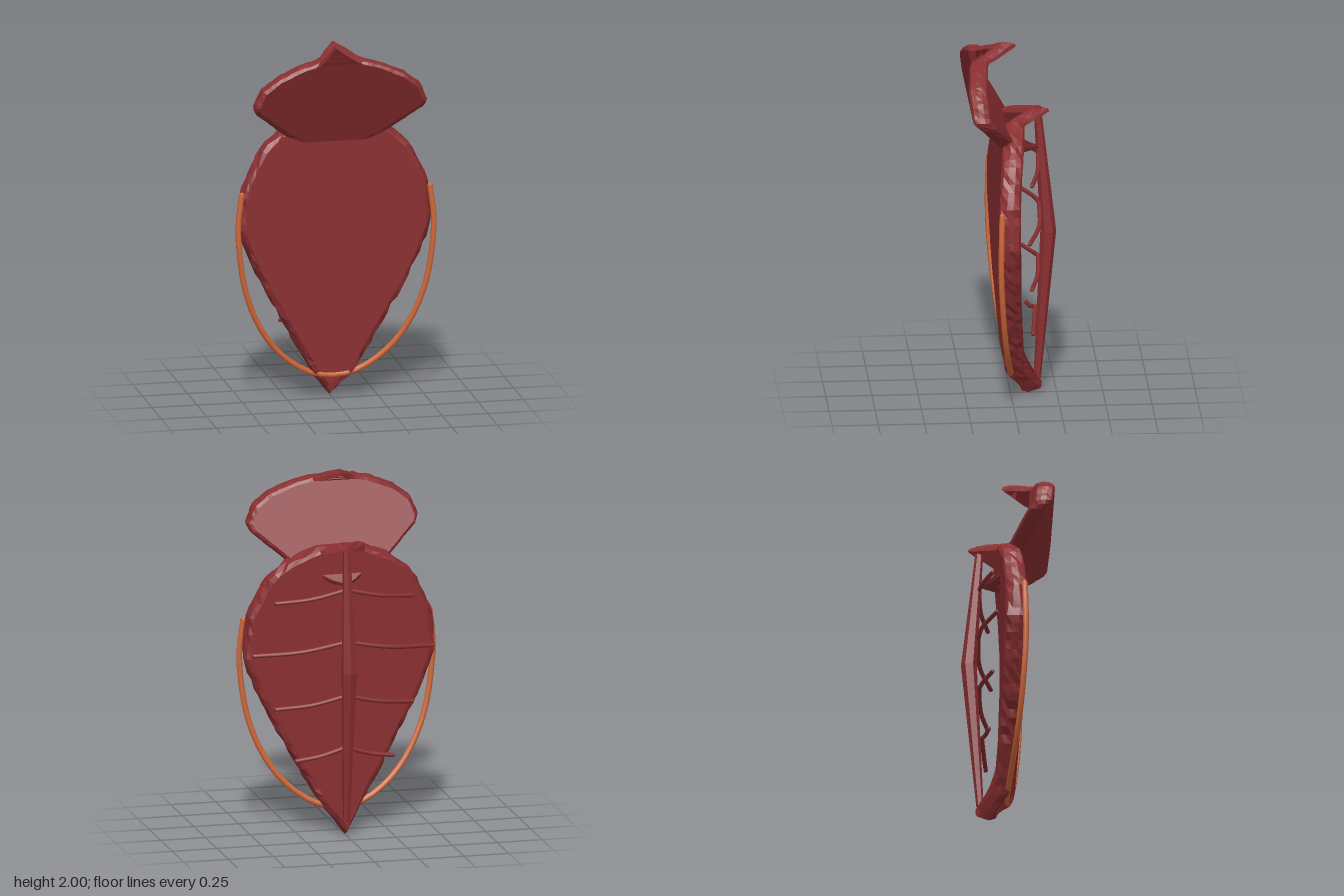
import * as THREE from 'three';

const red = new THREE.MeshStandardMaterial({ color: 0x8a2e30 });
red.name = 'deep red';
const orange = new THREE.MeshStandardMaterial({ color: 0xd0683a });
orange.name = 'orange';

// small seeded noise in -1..1
let seed = 7;
const noise = () => {
  seed = (seed * 16807) % 2147483647;
  return (seed / 2147483647) * 2 - 1;
};

// linear interpolation through [key, value] pairs with rising keys
function lerpTable(table, t) {
  for (let i = 1; i < table.length; i++) {
    const [a, va] = table[i - 1], [b, vb] = table[i];
    if (t <= b) return va + (vb - va) * Math.max(0, (t - a) / (b - a));
  }
  return table[table.length - 1][1];
}

// Mirrored slab with a rounded rough rim, bent in z by height and creased at the middle.
// half: right half of the outline from top to bottom; zByY: middle depth by height.
function slab(name, { half, zByY, thick, inset, rough, capNormal }) {
  const path = new THREE.CurvePath();
  for (let i = 1; i < half.length; i++) {
    path.add(new THREE.LineCurve(new THREE.Vector2(...half[i - 1]), new THREE.Vector2(...half[i])));
  }
  const n = 44, loop = 2 * n;
  const pts = path.getSpacedPoints(n);

  // outward normals of the right half
  const normals = pts.map((p, i) => {
    if (i === 0) return new THREE.Vector2(0, 1);
    if (i === n) return new THREE.Vector2(0, -1);
    const d = pts[i + 1].clone().sub(pts[i - 1]).normalize();
    return new THREE.Vector2(-d.y, d.x);
  });

  // rim rings from front to back: [share of inset, share of half thickness]
  const layers = [[1, 1], [0.35, 0.8], [0, 0.3], [0, -0.3], [0.35, -0.8], [1, -1]];
  const rings = layers.map(([k, dz]) => {
    const ring = [];
    for (let j = 0; j < loop; j++) {
      const i = j <= n ? j : loop - j, side = j <= n ? 1 : -1;
      const p = pts[i], nn = normals[i];
      const off = -k * inset + rough * noise() * (k < 1 ? 1 : 0.4);
      const x = Math.max(0, p.x + nn.x * off), y = p.y + nn.y * off;
      const crease = 0.14 * Math.max(0, 1 - x / 0.12);
      const z = lerpTable(zByY, p.y) - crease + dz * thick / 2 + (k < 1 ? rough * noise() * 0.6 : 0);
      ring.push([x * side, Math.max(0, y), z]);
    }
    return ring;
  });

  const pos = [];
  const quad = (a, b, c, d) => pos.push(...a, ...b, ...c, ...a, ...c, ...d);
  for (let r = 0; r < rings.length - 1; r++) {
    for (let j = 0; j < loop; j++) {
      const k = (j + 1) % loop;
      quad(rings[r][j], rings[r][k], rings[r + 1][k], rings[r + 1][j]);
    }
  }
  // front and back faces in strips from side to side
  const capStart = pos.length / 3;
  const front = rings[0], back = rings[rings.length - 1];
  const left = (i) => (loop - i) % loop;
  for (let i = 0; i < n; i++) quad(front[left(i)], front[left(i + 1)], front[i + 1], front[i]);
  const backStart = pos.length / 3;
  for (let i = 0; i < n; i++) quad(back[i], back[i + 1], back[left(i + 1)], back[left(i)]);

  const geo = new THREE.BufferGeometry();
  geo.setAttribute('position', new THREE.Float32BufferAttribute(pos, 3));
  geo.computeVertexNormals();
  // even shading over the broad faces
  const cn = new THREE.Vector3(...capNormal).normalize();
  for (let v = capStart; v < pos.length / 3; v++) {
    const s = v < backStart ? 1 : -1;
    geo.attributes.normal.setXYZ(v, cn.x * s, cn.y * s, cn.z * s);
  }
  const mesh = new THREE.Mesh(geo, red);
  mesh.name = name;
  return mesh;
}

// capped tube through points
function rod(name, points, radius, segments, material) {
  const curve = new THREE.CatmullRomCurve3(points.map((p) => new THREE.Vector3(...p)));
  const group = new THREE.Group();
  group.name = name;
  group.add(new THREE.Mesh(new THREE.TubeGeometry(curve, segments, radius, 7), material));
  for (const t of [0, 1]) {
    const cap = new THREE.Mesh(new THREE.SphereGeometry(radius, 7, 4), material);
    cap.position.copy(curve.getPoint(t));
    group.add(cap);
  }
  group.children.forEach((m, i) => { m.name = i ? name + 'End' : name + 'Tube'; });
  return group;
}

export function createModel() {
  seed = 7;
  const model = new THREE.Group();
  model.name = 'leafShield';

  // main leaf-shaped plate
  model.add(slab('bodyPlate', {
    half: [[0, 1.63], [0.12, 1.59], [0.29, 1.52], [0.4, 1.43], [0.46, 1.32], [0.515, 1.2],
      [0.53, 0.97], [0.44, 0.74], [0.27, 0.43], [0.1, 0.13], [0, 0.005]],
    zByY: [[0, 0.03], [0.2, -0.01], [0.4, 0.005], [0.6, 0.02], [1, 0.035], [1.2, 0.035], [1.4, 0.02], [1.62, -0.015]],
    thick: 0.115, inset: 0.03, rough: 0.008, capNormal: [0, 0, 1],
  }));

  // flared hood above it
  model.add(slab('hoodPlate', {
    half: [[0, 2], [0.1, 1.945], [0.22, 1.915], [0.35, 1.86], [0.44, 1.79], [0.48, 1.69], [0.46, 1.65],
      [0.28, 1.5], [0.14, 1.42], [0.06, 1.385], [0, 1.38]],
    zByY: [[1.38, 0.03], [1.42, 0.01], [1.5, 0.05], [1.6, 0.12], [1.68, 0.18], [1.85, 0.2], [1.92, 0.185], [2, 0.16]],
    thick: 0.1, inset: 0.025, rough: 0.003, capNormal: [0, -0.4, 0.92],
  }));

  // spine: tapered six-sided bar, thickest and furthest back at the middle
  const spineGeo = new THREE.CylinderGeometry(1, 1, 1.55, 6, 2).toNonIndexed();
  const sp = spineGeo.attributes.position;
  for (let i = 0; i < sp.count; i++) {
    const mid = Math.abs(sp.getY(i)) < 0.1;
    const r = mid ? 0.043 : 0.02;
    const y = mid ? 0.92 : sp.getY(i) + 0.855;
    sp.setXYZ(i, sp.getX(i) * r, y, sp.getZ(i) * r + (mid ? -0.205 : -0.145));
  }
  spineGeo.computeVertexNormals();
  const spine = new THREE.Mesh(spineGeo, red);
  spine.name = 'spine';
  model.add(spine);

  // ribs: [root height, reach, root z, tip z]
  const ribs = [[1.37, 0.38, -0.15, -0.09], [1.08, 0.5, -0.155, -0.07], [0.78, 0.38, -0.15, -0.09], [0.49, 0.27, -0.135, -0.105]];
  for (const [y, reach, z0, z1] of ribs) {
    for (const s of [1, -1]) {
      model.add(rod(s > 0 ? 'leftRib' : 'rightRib', [
        [0, y, z0], [s * reach * 0.5, y - 0.045, z0 + 0.015], [s * reach, y - 0.068, z1],
      ], 0.012, 8, red));
    }
  }

  // orange cord hanging round the lower edge
  const side = [[0.52, 1.18, 0.08], [0.54, 1, 0.085], [0.53, 0.83, 0.085], [0.5, 0.65, 0.075], [0.44, 0.48, 0.06],
    [0.35, 0.33, 0.04], [0.24, 0.22, 0.02], [0.12, 0.15, 0.005]];
  const mirrored = side.map(([x, y, z]) => [-x, y, z]).reverse();
  model.add(rod('cord', [...side, [0, 0.13, 0], ...mirrored], 0.016, 40, orange));

  return model;
}
